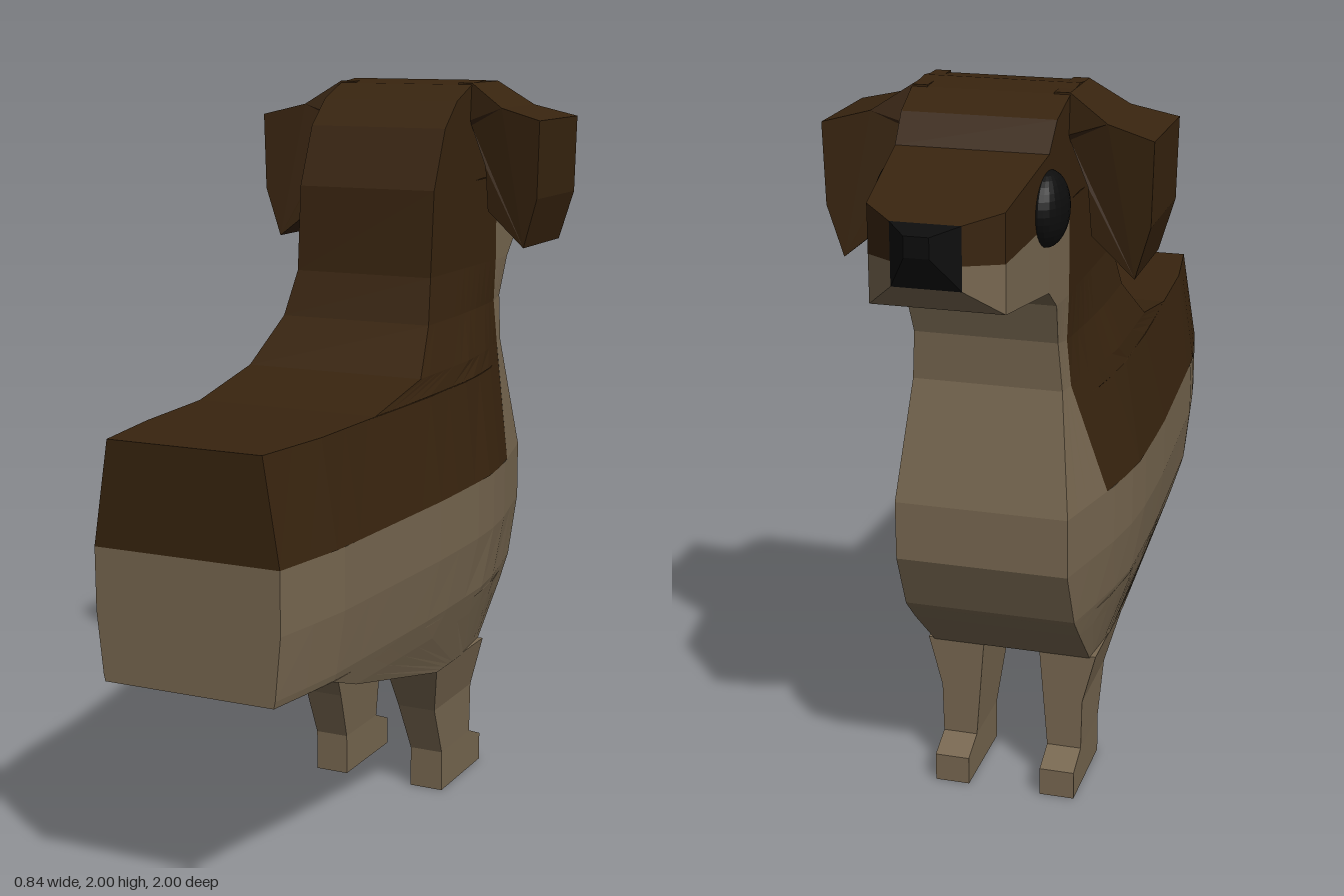
import * as THREE from 'three';

const paint = (color) => new THREE.MeshStandardMaterial({ color, flatShading: true });

// Piecewise linear lookup in a list of [input, output] pairs
function lookup(table, v) {
  if (v <= table[0][0]) return table[0][1];
  for (let i = 1; i < table.length; i++) {
    const [a, p] = table[i - 1], [b, q] = table[i];
    if (v <= b) return p + (q - p) * (v - a) / (b - a);
  }
  return table[table.length - 1][1];
}

// Half width of the animal at a point of its side outline
const WIDTH_BY_Y = [[0.25, 0.2], [0.4, 0.24], [0.61, 0.3], [0.77, 0.32], [0.93, 0.32], [1.25, 0.255], [1.37, 0.235], [1.49, 0.2]];
const TAPER_BY_Z = [[-0.54, 0.72], [-0.26, 0.93], [-0.1, 1], [0.2, 1], [0.77, 0.91], [1, 0.79]];
const HEAD_BY_Z = [[-1, 0.03], [-0.935, 0.085], [-0.86, 0.165], [-0.6, 0.19], [-0.42, 0.2]];
function halfWidth(y, z) {
  const body = lookup(WIDTH_BY_Y, y) * lookup(TAPER_BY_Z, z);
  const t = THREE.MathUtils.clamp((y - 1.25) / 0.24, 0, 1);
  return body + (lookup(HEAD_BY_Z, z) - body) * t;
}

// Solid lofted through lines in the side plane; each row is [z, y, z, y].
// The x of both flanks follows from the outer and inner functions of (y, z).
function loft(name, material, rows, outer = halfWidth, inner = (y, z) => -outer(y, z), n = 12) {
  const pos = [], index = [], ring = 2 * (n + 1);
  for (const [z0, y0, z1, y1] of rows) {
    for (let k = 0; k < ring; k++) {
      const t = (k <= n ? k : ring - 1 - k) / n;
      const y = y0 + (y1 - y0) * t, z = z0 + (z1 - z0) * t;
      pos.push((k <= n ? outer : inner)(y, z), y, z);
    }
  }
  const quad = (a, b, c, d) => index.push(a, b, c, a, c, d);
  for (let i = 0; i < rows.length - 1; i++) {
    for (let k = 0; k < ring; k++) {
      const a = i * ring + k, b = i * ring + (k + 1) % ring;
      quad(a, b, b + ring, a + ring);
    }
  }
  const top = (rows.length - 1) * ring;
  for (let k = 0; k < n; k++) {
    const m = ring - 1 - k;
    quad(top + k, top + k + 1, top + m - 1, top + m);
    quad(m, m - 1, k + 1, k);
  }
  const geo = new THREE.BufferGeometry();
  geo.setAttribute('position', new THREE.Float32BufferAttribute(pos, 3));
  geo.setIndex(index);
  geo.computeVertexNormals();
  const mesh = new THREE.Mesh(geo, material);
  mesh.name = name;
  return mesh;
}

// Drooping ear: outline extruded along z, flaring away from the head
function makeEar(material) {
  const outline = [[0.16, 1.995], [0.2, 1.995], [0.3, 1.93], [0.42, 1.9], [0.415, 1.69], [0.375, 1.555],
    [0.26, 1.65], [0.25, 1.77], [0.2, 1.88], [0.16, 1.88]];
  const shape = new THREE.Shape(outline.map(([x, y]) => new THREE.Vector2(x, y)));
  const geo = new THREE.ExtrudeGeometry(shape, { depth: 1, bevelEnabled: false });
  const p = geo.attributes.position;
  for (let i = 0; i < p.count; i++) {
    const half = lookup([[0.2, 0.095], [0.26, 0.115], [0.42, 0.147]], p.getX(i));
    p.setZ(i, -0.325 + (p.getZ(i) > 0.5 ? half : -half));
  }
  geo.computeVertexNormals();
  return new THREE.Mesh(geo, material);
}

export function createModel() {
  const model = new THREE.Group();
  const brown = paint(0x38240f), tan = paint(0x776750);
  const black = paint(0x0d0d0d);

  // Trunk: pale belly and chest, dark back and nape
  model.add(loft('belly', tan, [
    [0.07, 0.4, -0.26, 0.4], [0.62, 0.54, -0.405, 0.54], [0.76, 0.59, -0.452, 0.59],
    [1, 0.592, -0.455, 0.592], [1, 0.61, -0.47, 0.61], [1, 0.77, -0.54, 0.77], [1, 0.93, -0.54, 0.93],
  ]));
  model.add(loft('back', brown, [
    [1, 0.93, -0.325, 0.93], [1, 1.198, -0.405, 1.198], [0.49, 1.2, -0.406, 1.2], [0.22, 1.25, -0.42, 1.25],
    [0.09, 1.37, -0.42, 1.37], [0.04, 1.49, -0.42, 1.49], [0.02, 1.72, -0.42, 1.73],
  ]));
  model.add(loft('throat', tan, [
    [-0.325, 0.93, -0.54, 0.93], [-0.42, 1.25, -0.47, 1.25], [-0.42, 1.37, -0.48, 1.38],
    [-0.42, 1.49, -0.52, 1.49], [-0.42, 1.53, -0.58, 1.54],
  ], halfWidth, undefined, 4));

  // Head: rows run from the crown line down to the cheek line
  model.add(loft('skull', brown, [
    [0.02, 1.72, 0.019, 1.719], [-0.05, 1.88, -0.05, 1.72], [-0.13, 1.95, -0.13, 1.72], [-0.23, 1.99, -0.23, 1.725],
    [-0.32, 2, -0.32, 1.73], [-0.42, 1.99, -0.42, 1.73], [-0.52, 1.95, -0.52, 1.725], [-0.58, 1.88, -0.58, 1.715],
    [-0.86, 1.81, -0.86, 1.69], [-0.935, 1.793, -0.935, 1.7],
  ], halfWidth, undefined, 2));
  model.add(loft('jaw', tan, [
    [-0.42, 1.73, -0.42, 1.5], [-0.52, 1.725, -0.52, 1.5], [-0.58, 1.715, -0.58, 1.54],
    [-0.86, 1.69, -0.86, 1.57], [-0.935, 1.7, -0.935, 1.64],
  ], halfWidth, undefined, 2));
  model.add(loft('nose', black, [[-0.935, 1.793, -0.935, 1.64], [-1, 1.78, -1, 1.73]], halfWidth, undefined, 1));

  // Paired parts, mirrored across the middle
  for (const [side, s] of [['left', 1], ['right', -1]]) {
    const leg = loft(side + 'FrontLeg', tan, [
      [-0.06, 0, -0.34, 0], [-0.06, 0.08, -0.34, 0.08], [-0.06, 0.115, -0.26, 0.115],
      [0, 0.26, -0.26, 0.26], [0.07, 0.405, -0.26, 0.405],
    ], (y) => lookup([[0.25, 0.2], [0.4, 0.24]], y), (y) => lookup([[0.12, 0.103], [0.4, 0.08]], y), 1);
    leg.scale.x = s;

    const ear = makeEar(brown);
    ear.name = side + 'Ear';
    ear.scale.x = s;

    const eye = new THREE.Mesh(new THREE.SphereGeometry(0.093, 24, 16), black);
    eye.name = side + 'Eye';
    eye.scale.x = 0.55;
    eye.position.set(s * 0.188, 1.75, -0.58);
    model.add(leg, ear, eye);
  }
  return model;
}
